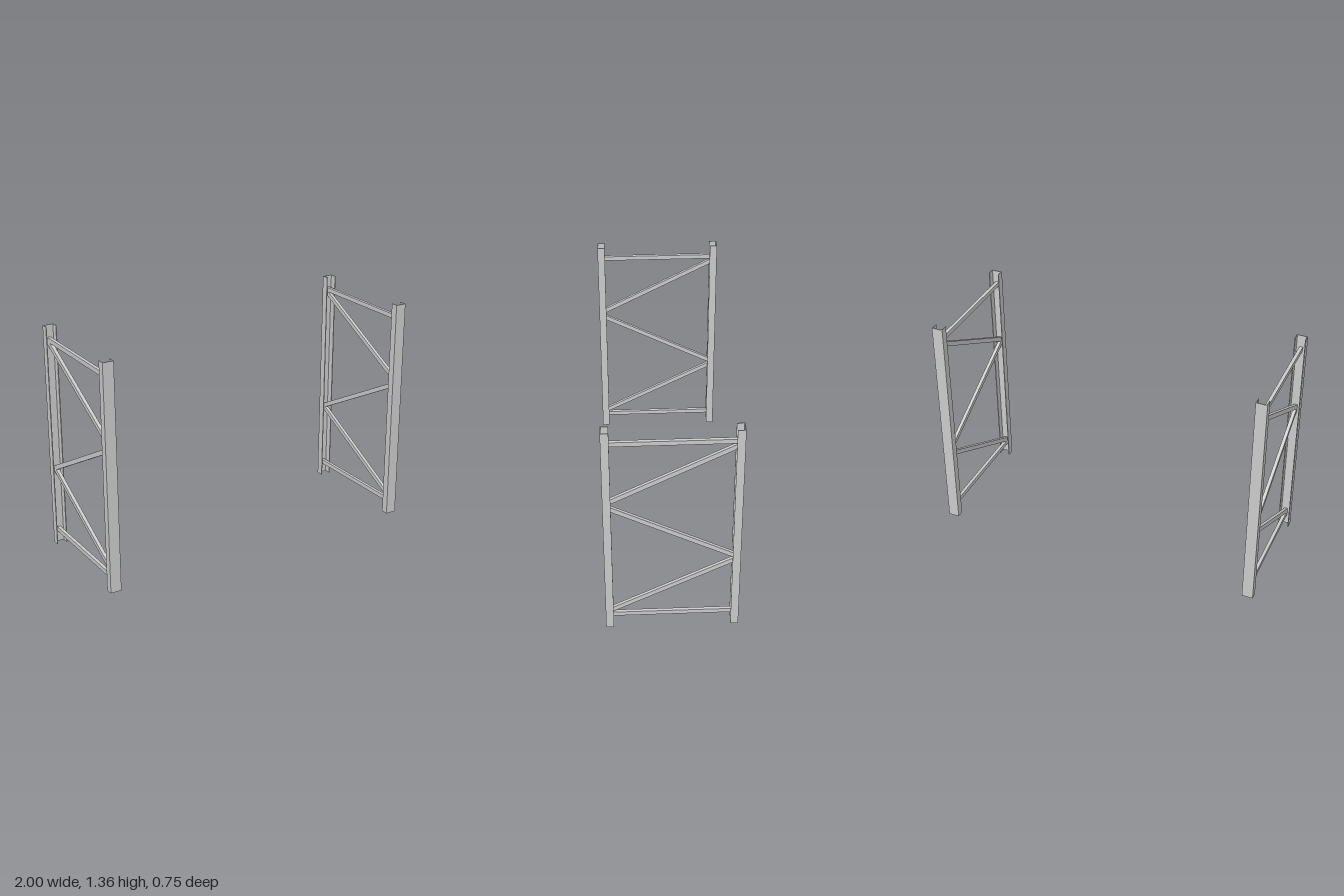
import * as THREE from 'three';

const material = new THREE.MeshStandardMaterial({ color: 0xcccccc });
const HEIGHT = 1.36, WIDTH = 0.066, DEPTH = 0.044, WALL = 0.005, OUTER = 0.373;
const REACH = OUTER - WALL; // braces run from web to web

// Upright channel: web on the outer side, flanges pointing inwards
function uprightGeometry() {
  const w = WIDTH / 2, t = WALL;
  const shape = new THREE.Shape([
    [-w, 0], [w, 0], [w, DEPTH], [w - t, DEPTH],
    [w - t, t], [-w + t, t], [-w + t, DEPTH], [-w, DEPTH],
  ].map(([x, y]) => new THREE.Vector2(x, y)));
  return new THREE.ExtrudeGeometry(shape, { depth: HEIGHT, bevelEnabled: false })
    .rotateX(-Math.PI / 2)
    .translate(0, 0, OUTER);
}

// Bar from front height y0 to back height y1, with ends cut flush to the webs
function braceGeometry(y0, y1) {
  const slope = (y0 - y1) / (2 * REACH);
  const thick = 0.027 * Math.hypot(1, slope);
  const geo = new THREE.BoxGeometry(0.02, thick, 2 * REACH);
  const pos = geo.attributes.position;
  for (let i = 0; i < pos.count; i++) {
    pos.setY(i, pos.getY(i) + (y0 + y1) / 2 + slope * pos.getZ(i));
  }
  geo.computeVertexNormals();
  return geo;
}

function addMesh(group, geometry, name) {
  const mesh = new THREE.Mesh(geometry, material);
  mesh.name = name;
  group.add(mesh);
  return mesh;
}

function createFrame(name) {
  const frame = new THREE.Group();
  frame.name = name;
  const upright = uprightGeometry();
  addMesh(frame, upright, 'frontUpright');
  addMesh(frame, upright, 'backUpright').rotation.y = Math.PI;

  const braces = [
    ['bottomRail', 0.08, 0.08],
    ['lowerDiagonal', 0.097, 0.477],
    ['middleDiagonal', 0.86, 0.478],
    ['upperDiagonal', 0.875, 1.257],
    ['topRail', 1.273, 1.273],
  ];
  for (const [part, y0, y1] of braces) addMesh(frame, braceGeometry(y0, y1), part);
  return frame;
}

export function createModel() {
  const model = new THREE.Group();
  model.name = 'rackUprightFrames';
  for (const side of [-1, 1]) {
    const frame = createFrame(side > 0 ? 'leftFrame' : 'rightFrame');
    frame.position.x = side * (1 - WIDTH / 2);
    model.add(frame);
  }
  return model;
}
